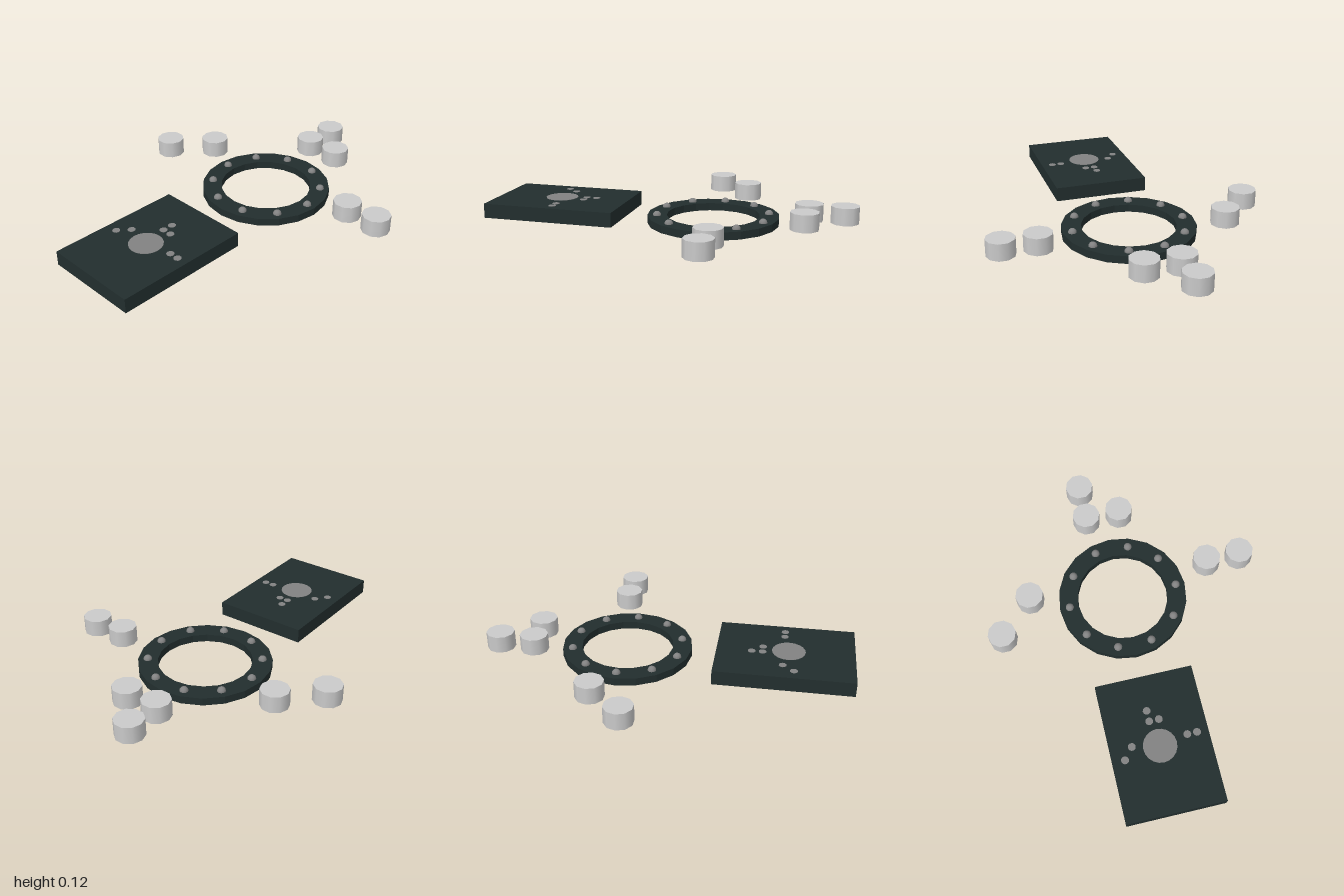
import * as THREE from 'three';

const mat = (name, color) => {
  const m = new THREE.MeshStandardMaterial({ color });
  m.name = name;
  return m;
};

export function createModel() {
  const model = new THREE.Group();
  const dark = mat('darkSlate', 0x222e2e);
  const flatDark = dark.clone();
  flatDark.flatShading = true;
  const grey = mat('midGrey', 0x828282);
  const light = mat('lightGrey', 0xcacaca);

  const add = (name, geometry, material, x, y, z, parent = model) => {
    const mesh = new THREE.Mesh(geometry, material);
    mesh.name = name;
    mesh.position.set(x, y, z);
    parent.add(mesh);
    return mesh;
  };

  // Flat rectangular base in front
  add('slab', new THREE.BoxGeometry(0.53, 0.08, 0.74), dark, -0.003, 0.04, 0.63);

  // Faceted ring with a rectangular section
  const ringZ = -0.234, inner = 0.252, outer = 0.357, height = 0.042;
  const section = [[inner, 0], [outer, 0], [outer, height], [inner, height], [inner, 0]]
    .map(([r, y]) => new THREE.Vector2(r, y));
  add('ring', new THREE.LatheGeometry(section, 20), flatDark, -0.002, 0, ringZ);

  // Ten round studs on the ring
  const studs = new THREE.Group();
  studs.name = 'ringStuds';
  model.add(studs);
  const studGeometry = new THREE.SphereGeometry(0.023, 12, 8);
  for (let i = 0; i < 10; i++) {
    const a = (i / 10) * Math.PI * 2;
    add('stud', studGeometry, grey, 0.304 * Math.cos(a), height, ringZ + 0.304 * Math.sin(a), studs);
  }

  // Ten-sided pucks floating around the ring
  const puckGeometry = new THREE.CylinderGeometry(0.077, 0.077, 0.093, 10);
  puckGeometry.rotateY(Math.PI / 2);
  const pucks = [
    [-0.1, -0.927], [-0.1, -0.737], [0.09, -0.737], [0.503, -0.327],
    [0.692, -0.327], [-0.508, -0.327], [-0.695, -0.137],
  ];
  for (const [x, z] of pucks) add('puck', puckGeometry, light, x, 0.069, z);

  // Map of the layout inlaid on the slab
  const disc = (r, n) => new THREE.CylinderGeometry(r, r, 0.003, n).rotateY(Math.PI / 2);
  add('mapDisc', disc(0.09, 20), grey, -0.005, 0.0805, 0.647);
  const dotGeometry = disc(0.021, 10);
  const dots = [
    [-0.03, 0.45], [-0.03, 0.508], [0.022, 0.508], [0.148, 0.62],
    [0.2, 0.62], [-0.15, 0.62], [-0.2, 0.68],
  ];
  for (const [x, z] of dots) add('mapDot', dotGeometry, grey, x, 0.0805, z);

  return model;
}
